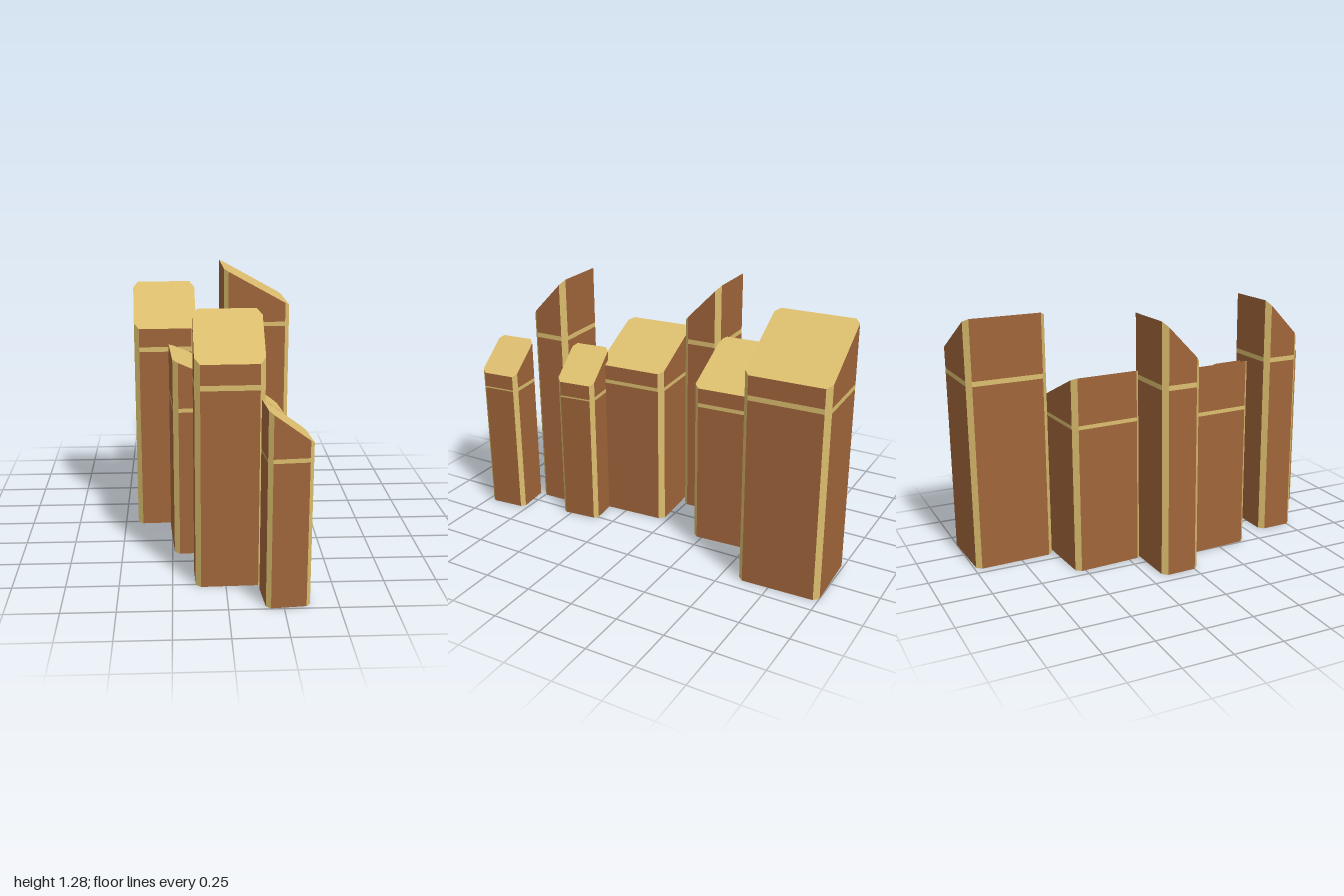
import * as THREE from 'three';

// Flat-shaded mesh from a list of planar convex polygons (counter-clockwise from outside)
function facesMesh(name, polys, material) {
  const pos = [];
  for (const p of polys)
    for (let i = 1; i < p.length - 1; i++) pos.push(...p[0], ...p[i], ...p[i + 1]);
  const geo = new THREE.BufferGeometry();
  geo.setAttribute('position', new THREE.Float32BufferAttribute(pos, 3));
  geo.computeVertexNormals();
  const mesh = new THREE.Mesh(geo, material);
  mesh.name = name;
  return mesh;
}

// Tower with bevelled corners, a slanted roof and an open base
function makeTower(t, brown, gold) {
  const w = t.w / 2, d = t.d / 2, c = t.bevel;
  const outline = [
    [-w + c, d], [w - c, d], [w, d - c], [w, -d + c],
    [w - c, -d], [-w + c, -d], [-w, -d + c], [-w, d - c],
  ];
  // Roof falls from high to low along the local x or z axis
  const roofY = ([x, z]) => {
    const k = t.slope === 'x' ? (x + w) / t.w : (z + d) / t.d;
    return t.high + (t.low - t.high) * k;
  };
  const quad = (p, q, p0, q0, p1, q1) => [
    [p[0], p0, p[1]], [q[0], q0, q[1]], [q[0], q1, q[1]], [p[0], p1, p[1]],
  ];
  const walls = [], bands = [], corners = [];
  outline.forEach((p, i) => {
    const q = outline[(i + 1) % 8];
    if (i % 2) {
      corners.push(quad(p, q, 0, 0, roofY(p), roofY(q)));
      return;
    }
    // The band is slimmer on the side walls of the small towers
    const b0 = t.band, b1 = b0 + (i % 4 ? t.sideBand : t.frontBand);
    walls.push(quad(p, q, 0, 0, b0, b0), quad(p, q, b1, b1, roofY(p), roofY(q)));
    bands.push(quad(p, q, b0, b0, b1, b1));
  });
  const tower = new THREE.Group();
  tower.name = t.name;
  tower.add(
    facesMesh('walls', walls, brown),
    facesMesh('wallBands', bands, gold),
    facesMesh('cornerBevels', corners, gold),
    facesMesh('slantedRoof', [outline.map((p) => [p[0], roofY(p), p[1]])], gold),
  );
  tower.position.set(t.x, 0, t.z);
  tower.rotation.y = THREE.MathUtils.degToRad(t.turn);
  return tower;
}

export function createModel() {
  const brown = new THREE.MeshStandardMaterial({ color: 0xa0653a, side: THREE.DoubleSide });
  brown.name = 'brown wall';
  const gold = new THREE.MeshStandardMaterial({ color: 0xdcbe6e, side: THREE.DoubleSide });
  gold.name = 'gold trim';

  // Shared tower types
  const large = { w: 0.377, d: 0.414, high: 1.28, low: 1.07, slope: 'x', band: 0.95, frontBand: 0.025, sideBand: 0.025, bevel: 0.025 };
  const slab = { w: 0.318, d: 0.202, high: 1.28, low: 1.07, slope: 'z', band: 0.95, frontBand: 0.025, sideBand: 0.025, bevel: 0.025 };
  const medium = { w: 0.358, d: 0.37, high: 1.0, low: 0.84, slope: 'x', band: 0.742, frontBand: 0.02, sideBand: 0.02, bevel: 0.025 };
  const small = { w: 0.202, d: 0.21, high: 0.92, low: 0.77, slope: 'x', band: 0.686, frontBand: 0.02, sideBand: 0.008, bevel: 0.02 };

  // Row of towers from back to front
  const towers = [
    { ...large, name: 'largeBackTower', x: 0.238, z: -0.788, turn: 2 },
    { ...medium, name: 'mediumBackTower', x: -0.018, z: -0.372, turn: 3.5 },
    { ...slab, name: 'slabBackTower', x: -0.278, z: -0.08, turn: 2 },
    { ...medium, name: 'mediumFrontTower', x: -0.07, z: 0.22, turn: 3.5 },
    { ...small, name: 'smallBackTower', x: 0.175, z: 0.457, turn: 6 },
    { ...slab, name: 'slabFrontTower', x: 0.015, z: 0.672, turn: 1.5 },
    { ...small, name: 'smallFrontTower', x: 0.262, z: 0.884, turn: 5 },
  ];
  const model = new THREE.Group();
  model.name = 'towerRow';
  for (const t of towers) model.add(makeTower(t, brown, gold));
  return model;
}
